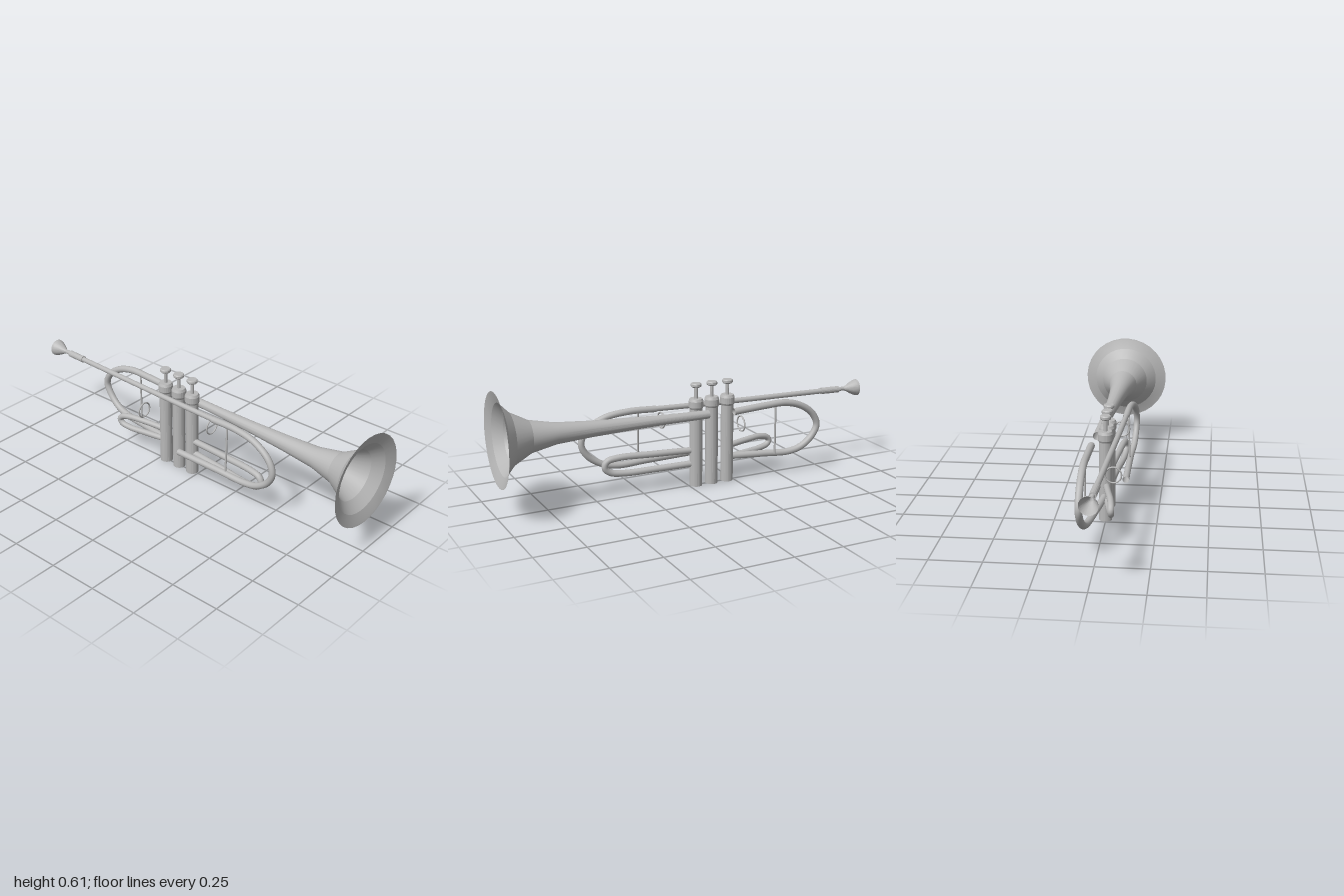
import * as THREE from 'three';
import { toCreasedNormals } from 'three/addons/utils/BufferGeometryUtils.js';

const silver = new THREE.MeshStandardMaterial({ color: 0xb8b8b8, side: THREE.DoubleSide });
silver.name = 'silver grey';

const vec = (p) => new THREE.Vector3(...p);

export function createModel() {
  const model = new THREE.Group();
  model.name = 'trumpet';

  const add = (name, geometry, parent = model) => {
    const mesh = new THREE.Mesh(geometry, silver);
    mesh.name = name;
    parent.add(mesh);
    return mesh;
  };

  // Turned part: profile of [radius, distance], pointed along a direction
  const turned = (name, profile, sides, origin, dir, parent) => {
    const points = profile.map(([r, d]) => new THREE.Vector2(r, d));
    const geometry = toCreasedNormals(new THREE.LatheGeometry(points, sides), 0.26);
    const mesh = add(name, geometry, parent);
    mesh.position.set(...origin);
    mesh.quaternion.setFromUnitVectors(new THREE.Vector3(0, 1, 0), vec(dir).normalize());
    return mesh;
  };

  // Bent pipe through a few points
  const pipe = (name, points, radius, segments = 64) => {
    const curve = new THREE.CatmullRomCurve3(points.map(vec), false, 'centripetal');
    return add(name, new THREE.TubeGeometry(curve, segments, radius, 14));
  };

  // Flaring bell, open at both ends, slightly angled inward
  turned('bell', [
    [0.021, 0], [0.024, 0.2], [0.03, 0.4], [0.039, 0.6], [0.052, 0.785],
    [0.078, 0.91], [0.126, 1.0], [0.173, 1.045], [0.22, 1.064], [0.228, 1.066],
  ], 32, [0.056, 0.379, -0.08], [-0.056, 0, 1.064]);

  // Three valves with cap, stem and finger button
  [-0.038, -0.126, -0.214].forEach((z, i) => {
    const valve = new THREE.Group();
    valve.name = `valve${i + 1}`;
    model.add(valve);
    const up = [0, 1, 0];
    const at = [0.002, 0, z];
    turned('casing', [[0, 0], [0.032, 0], [0.032, 0.41], [0, 0.41]], 24, at, up, valve);
    turned('cap', [[0.032, 0.4], [0.037, 0.41], [0.037, 0.44], [0.031, 0.453], [0, 0.453]], 24, at, up, valve);
    turned('stem', [[0.009, 0.45], [0.009, 0.515]], 12, at, up, valve);
    turned('button', [[0, 0.511], [0.022, 0.511], [0.027, 0.516], [0.027, 0.526], [0.023, 0.531], [0, 0.531]], 20, at, up, valve);
  });

  // Mouthpiece and its receiver, on the line of the leadpipe
  const along = [-0.055, 0.012, 1];
  turned('mouthpiece', [
    [0.039, 0.008], [0.043, 0], [0.041, 0.012], [0.031, 0.035], [0.016, 0.062],
    [0.01, 0.075], [0.0115, 0.12],
  ], 24, [-0.005, 0.393, -1], along);
  turned('receiver', [[0.01, 0], [0.017, 0], [0.017, 0.105], [0.012, 0.105]],
    16, [-0.011, 0.394, -0.89], along);

  // Leadpipe running forward beside the valves
  pipe('leadpipe', [[-0.016, 0.395, -0.79], [-0.055, 0.402, -0.05], [-0.07, 0.409, 0.25]], 0.0135, 12);

  // Main tuning slide curving down and back
  pipe('tuningSlide', [
    [-0.066, 0.406, 0.15], [-0.072, 0.409, 0.3], [-0.081, 0.39, 0.42], [-0.091, 0.335, 0.51],
    [-0.094, 0.27, 0.537], [-0.092, 0.21, 0.51], [-0.087, 0.16, 0.44], [-0.08, 0.14, 0.36],
    [-0.08, 0.143, 0.2], [-0.083, 0.147, -0.055],
  ], 0.0165, 90);

  // Rear bow joining the upper bell line to the rear valve
  pipe('bellBow', [
    [0.07, 0.378, -0.215], [0.072, 0.388, -0.4], [0.073, 0.389, -0.51], [0.073, 0.365, -0.6],
    [0.073, 0.315, -0.673], [0.073, 0.25, -0.705], [0.071, 0.19, -0.678], [0.064, 0.14, -0.62],
    [0.055, 0.119, -0.55], [0.03, 0.121, -0.4], [0.003, 0.126, -0.22],
  ], 0.0175, 90);

  // Valve slides: flat U-bends reaching forward and backward
  pipe('frontSlide', [
    [-0.002, 0.185, -0.03], [-0.02, 0.19, 0.18], [-0.038, 0.192, 0.37], [-0.043, 0.179, 0.425],
    [-0.045, 0.148, 0.437], [-0.043, 0.121, 0.41], [-0.037, 0.109, 0.34], [-0.02, 0.111, 0.18],
    [-0.002, 0.115, -0.03],
  ], 0.0165, 80);
  pipe('rearSlide', [
    [-0.002, 0.18, -0.22], [-0.022, 0.188, -0.33], [-0.042, 0.19, -0.43], [-0.049, 0.178, -0.478],
    [-0.05, 0.158, -0.492], [-0.049, 0.138, -0.478], [-0.042, 0.126, -0.43], [-0.022, 0.122, -0.33],
    [-0.002, 0.12, -0.22],
  ], 0.0155, 70);

  // Finger rings
  [['frontRing', -0.047, 0.35, 0.13], ['rearRing', -0.045, 0.272, -0.322]].forEach(([name, x, y, z]) => {
    add(name, new THREE.TorusGeometry(0.039, 0.004, 8, 28)).position.set(x, y, z);
  });

  // Thin upright braces between upper and lower pipes
  const brace = (name, a, b) => add(name, new THREE.TubeGeometry(new THREE.LineCurve3(vec(a), vec(b)), 1, 0.005, 10));
  brace('frontBrace', [-0.07, 0.41, 0.245], [-0.08, 0.14, 0.245]);
  brace('rearBrace', [0.073, 0.388, -0.455], [0.073, 0.125, -0.455]);

  return model;
}
